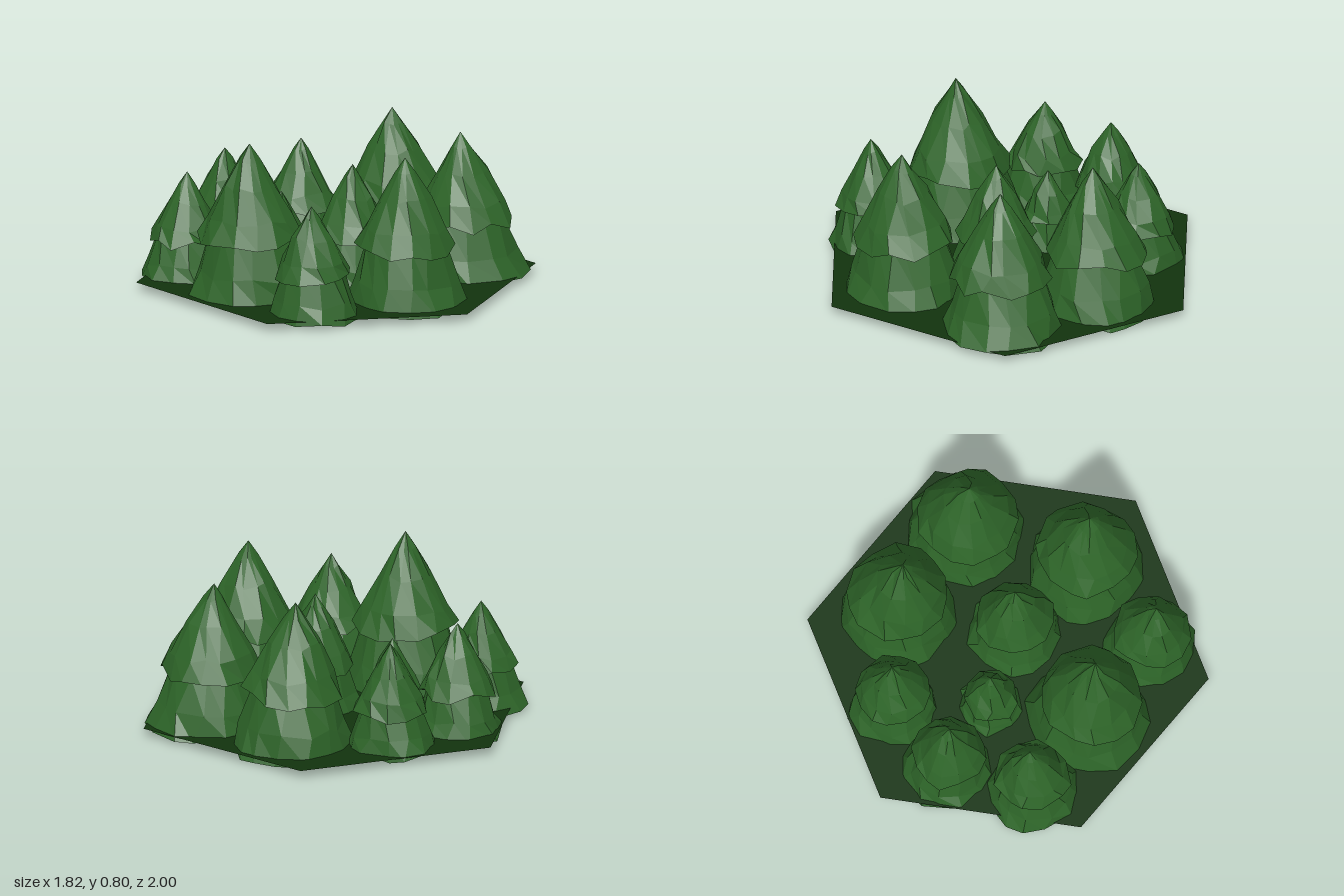
import * as THREE from 'three';

const foliage = new THREE.MeshStandardMaterial({ color: 0x2d6428, flatShading: true });
const soil = new THREE.MeshStandardMaterial({ color: 0x12330e, flatShading: true, side: THREE.DoubleSide });

// Seeded random numbers from 0 to 1
function makeRandom(seed) {
  let s = seed;
  return () => {
    s = (s * 1664525 + 1013904223) % 4294967296;
    return s / 4294967296;
  };
}

// One tier of branches: a faceted cone with a hollowed underside and a ragged rim.
// Profile points are [radius, height, radial jitter, height jitter], bottom to top.
function tier(name, profile, sides, random, lean) {
  const points = profile.map(([r, y]) => new THREE.Vector2(r, y));
  const geometry = new THREE.LatheGeometry(points, sides);
  const jitter = Array.from({ length: sides * profile.length }, () => [random() - 0.5, random() - 0.5, random() - 0.5]);
  const pos = geometry.attributes.position;
  for (let i = 0; i <= sides; i++) {
    for (let j = 0; j < profile.length; j++) {
      const k = i * profile.length + j;
      const [r, y, radial, vertical] = profile[j];
      const [a, b, c] = jitter[(i % sides) * profile.length + j];
      const angle = ((i % sides) + c * 0.5) / sides * Math.PI * 2;
      const radius = r * (1 + a * radial);
      const height = y + b * vertical;
      const shift = lean(height);
      pos.setXYZ(k, Math.sin(angle) * radius + shift[0], Math.max(height, 0), Math.cos(angle) * radius + shift[1]);
    }
  }
  geometry.computeVertexNormals();
  const mesh = new THREE.Mesh(geometry, foliage);
  mesh.name = name;
  return mesh;
}

// Base centre x, z, rim radius, height, and the apex x, z
const trees = [
  [0.14, -0.57, 0.3, 0.775, 0.12, -0.54],
  [0.60, -0.31, 0.3, 0.76, 0.57, -0.28],
  [0.50, 0.31, 0.3, 0.78, 0.50, 0.33],
  [-0.26, 0.44, 0.31, 0.82, -0.26, 0.48],
  [0.15, 0.68, 0.235, 0.60, 0.15, 0.72],
  [0.115, 0.02, 0.235, 0.63, 0.115, 0.02],
  [-0.28, -0.04, 0.165, 0.44, -0.28, -0.04],
  [-0.68, 0.24, 0.225, 0.57, -0.68, 0.22],
  [-0.63, -0.20, 0.225, 0.59, -0.63, -0.19],
  [-0.355, -0.51, 0.225, 0.58, -0.35, -0.52],
];

function makeTree([x, z, r, h, topX, topZ], index) {
  const random = makeRandom(index * 7919 + 17);
  const lean = (y) => [(topX - x) * y / h, (topZ - z) * y / h];
  const sides = r > 0.25 ? 14 : r > 0.2 ? 12 : 9;
  const brim = h * 0.42;
  const tree = new THREE.Group();
  tree.name = 'tree' + (index + 1);
  tree.add(
    tier('lowerBranches', [
      [0, 0.055, 0, 0],
      [r * 0.6, 0.052, 0.1, 0.02],
      [r, 0.042, 0.12, 0.045],
      [r * 0.86, brim * 0.5, 0.08, 0.03],
      [r * 0.66, brim * 1.05, 0.06, 0.02],
      [0, brim * 1.3, 0, 0],
    ], sides, random, lean),
    tier('upperBranches', [
      [0, brim + h * 0.04, 0, 0],
      [r * 0.55, brim + h * 0.02, 0.05, 0.01],
      [r * 0.83, brim, 0.12, 0.05],
      [r * 0.67, h * 0.55, 0.1, 0.03],
      [r * 0.42, h * 0.74, 0.12, 0.03],
      [r * 0.17, h * 0.9, 0.15, 0.02],
      [0, h, 0, 0],
    ], sides, random, lean),
  );
  tree.position.set(x, 0, z);
  return tree;
}

export function createModel() {
  const model = new THREE.Group();
  model.name = 'forestTile';

  // Thin hexagonal ground with corners at front and back
  const ground = new THREE.Mesh(new THREE.CircleGeometry(1, 6, Math.PI / 2), soil);
  ground.name = 'ground';
  ground.rotation.x = -Math.PI / 2;
  ground.position.set(0.02, 0.06, 0);
  model.add(ground);

  trees.forEach((spec, i) => model.add(makeTree(spec, i)));
  return model;
}
